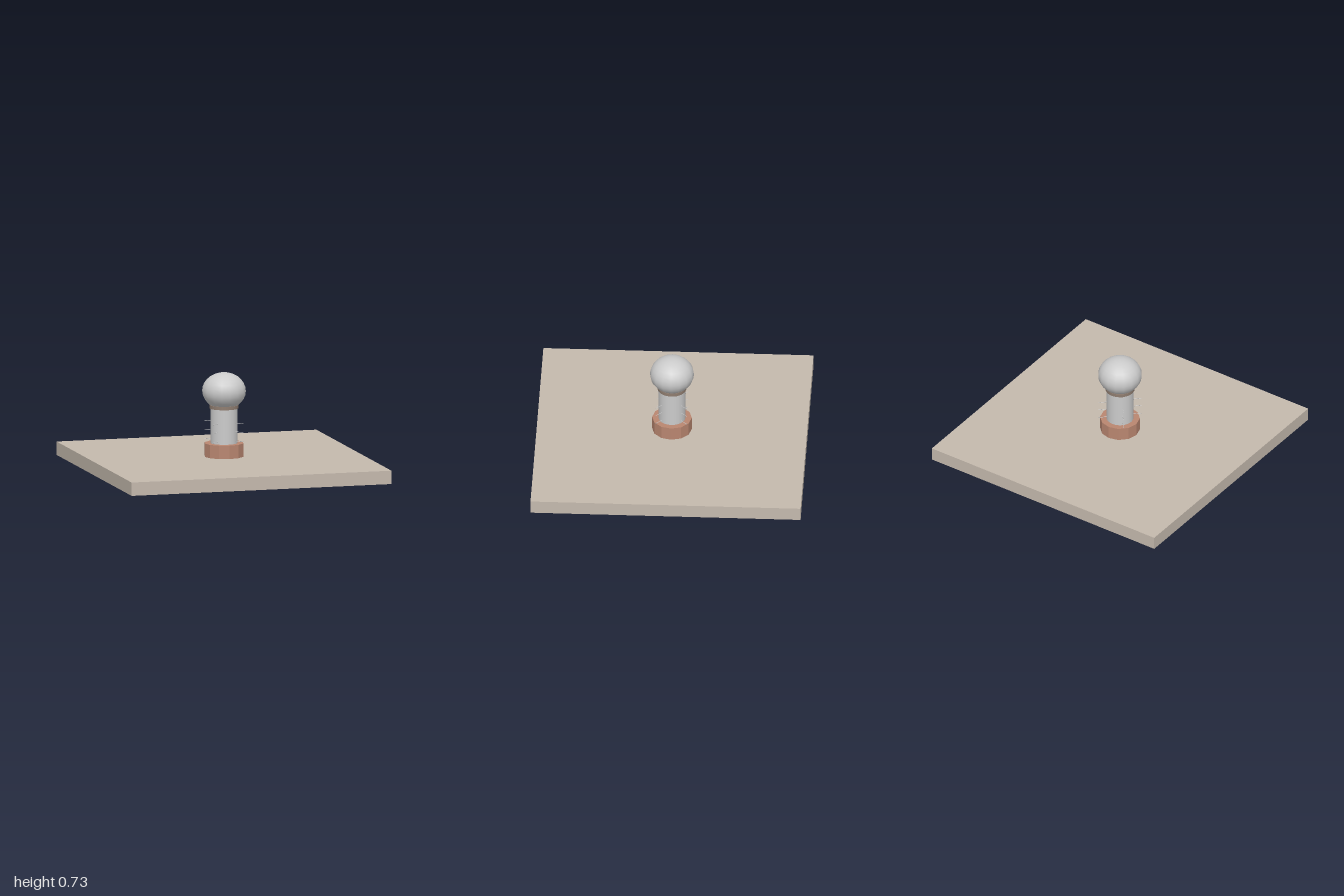
import * as THREE from 'three';

export function createModel() {
  const model = new THREE.Group();
  const stone = new THREE.MeshStandardMaterial({ color: 0xc4b9ad });
  const copper = new THREE.MeshStandardMaterial({ color: 0xb98670, flatShading: true });
  const bronze = new THREE.MeshStandardMaterial({ color: 0x8f7d70 });
  const grey = new THREE.MeshStandardMaterial({ color: 0xcccccc });

  function add(name, geometry, material, y, parent = model) {
    const mesh = new THREE.Mesh(geometry, material);
    mesh.name = name;
    mesh.position.y = y;
    parent.add(mesh);
    return mesh;
  }

  // Square ground slab
  add('slab', new THREE.BoxGeometry(2, 0.1, 2), stone, 0.05);

  // Faceted foot, round shaft and collar
  add('foot', new THREE.CylinderGeometry(0.147, 0.147, 0.1, 12), copper, 0.15);
  add('shaft', new THREE.CylinderGeometry(0.1, 0.1, 0.28, 24), grey, 0.33);
  add('collar', new THREE.CylinderGeometry(0.108, 0.108, 0.025, 16), bronze, 0.472);

  // Slightly flattened ball on top
  const ball = add('ball', new THREE.SphereGeometry(0.163, 16, 14), grey, 0.59);
  ball.scale.y = 0.84;

  // Three rows of fine pins standing out on the diagonals of the shaft
  const pins = new THREE.Group();
  pins.name = 'pins';
  model.add(pins);
  const pinShape = new THREE.CylinderGeometry(0.002, 0.002, 0.08, 6);
  pinShape.rotateZ(Math.PI / 2).translate(0.122, 0, 0);
  for (const y of [0.22, 0.29, 0.355]) {
    for (let i = 0; i < 4; i++) {
      add('pin', pinShape, grey, y, pins).rotation.y = Math.PI / 4 + i * Math.PI / 2;
    }
  }
  return model;
}
